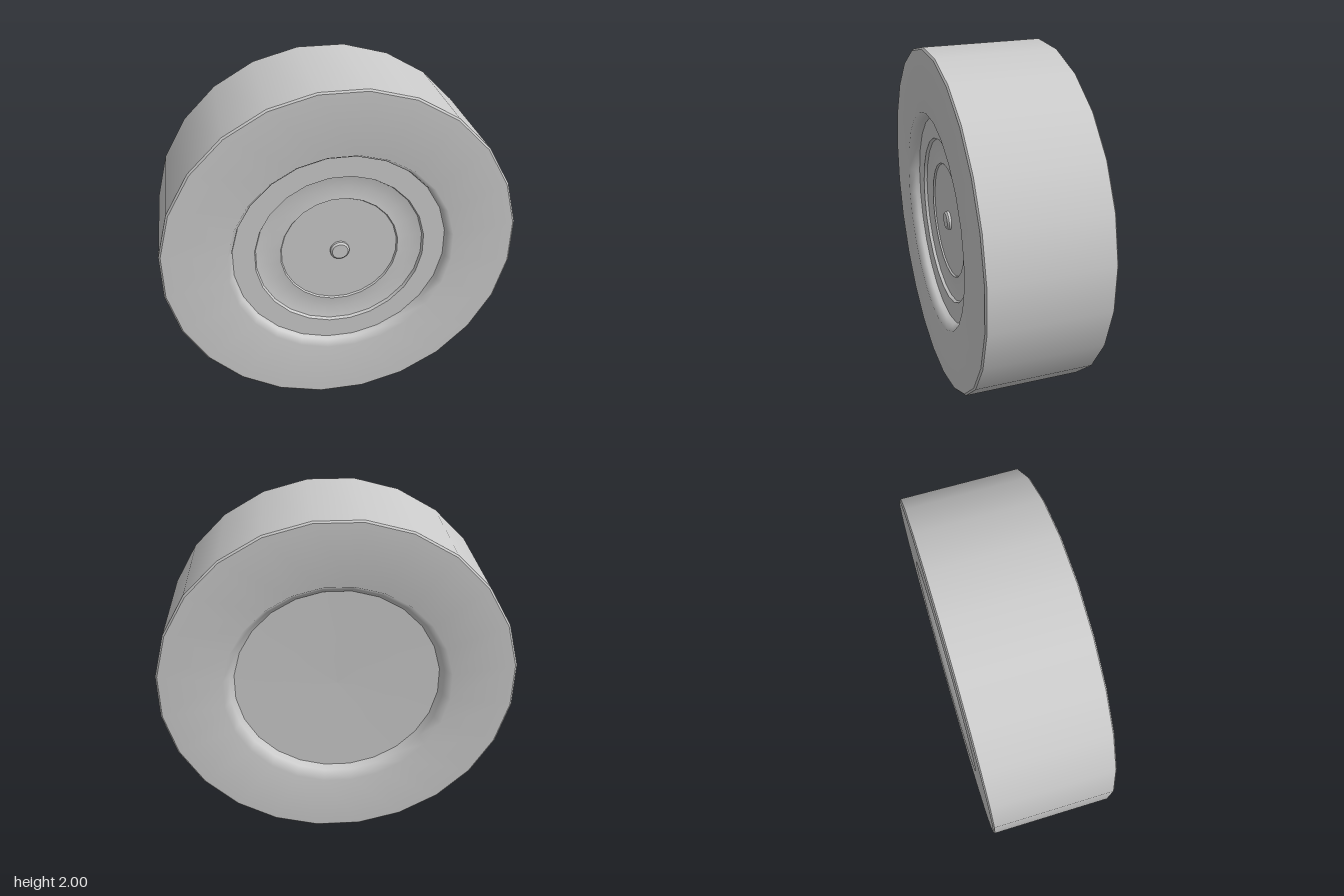
import * as THREE from 'three';
import { mergeGeometries } from 'three/addons/utils/BufferGeometryUtils.js';

const SIDES = 24;
const STEP = Math.PI / SIDES;
const material = new THREE.MeshStandardMaterial({ color: 0xcccccc });

// Turns [radius, z] sections around the axle; shading is smooth inside a section
// and sharp between sections. Radii are measured to the middle of the flats.
function turned(name, sections) {
  const parts = sections.map((section) => {
    const points = section.map(([r, z]) => new THREE.Vector2(r / Math.cos(STEP), z));
    return new THREE.LatheGeometry(points, SIDES, STEP, Math.PI * 2);
  });
  const geometry = mergeGeometries(parts);
  geometry.rotateX(Math.PI / 2);
  const mesh = new THREE.Mesh(geometry, material);
  mesh.name = name;
  return mesh;
}

export function createModel() {
  const wheel = new THREE.Group();
  wheel.name = 'wheel';

  // Tyre: back wall with its rounded lip, bevels, tread, front wall with its lip
  wheel.add(turned('tyre', [
    [[0.57, -0.25], [0.605, -0.29], [0.64, -0.345], [0.99, -0.345]],
    [[0.99, -0.345], [1, -0.337]],
    [[1, -0.337], [1, 0.337]],
    [[1, 0.337], [0.99, 0.345]],
    [[0.99, 0.345], [0.64, 0.345], [0.615, 0.305], [0.605, 0.27]],
  ]));

  // Back plate closing the rear recess
  wheel.add(turned('backPlate', [
    [[0, -0.255], [0.3, -0.26], [0.58, -0.265]],
  ]));

  // Rim: outer ring, small step, dished ring
  wheel.add(turned('rim', [
    [[0.615, 0.28], [0.485, 0.28]],
    [[0.485, 0.28], [0.478, 0.262]],
    [[0.478, 0.262], [0.41, 0.25], [0.338, 0.258]],
  ]));

  // Hub cap with a short centre boss
  wheel.add(turned('hubCap', [
    [[0.338, 0.258], [0.332, 0.248]],
    [[0.332, 0.248], [0, 0.248]],
  ]));
  wheel.add(turned('centreBoss', [
    [[0.055, 0.245], [0.055, 0.262]],
    [[0.055, 0.262], [0.045, 0.272]],
    [[0.045, 0.272], [0, 0.272]],
  ]));

  wheel.position.y = 1;
  const model = new THREE.Group();
  model.name = 'wheelModel';
  model.add(wheel);
  return model;
}
